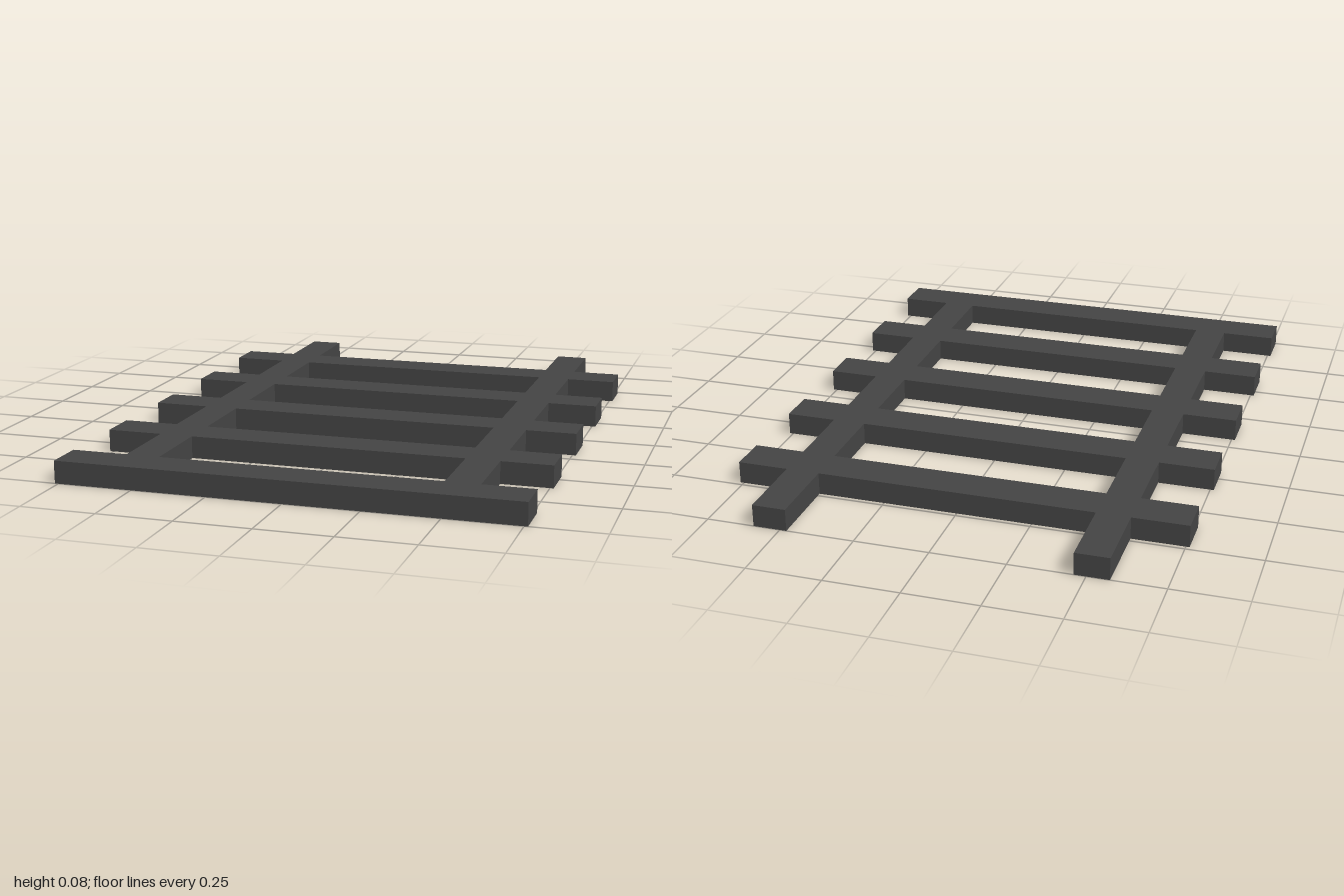
import * as THREE from 'three';

const HEIGHT = 0.075;
const RUNG_DEPTH = 0.135;
const SPACING = 0.4;
const RUNG_COUNT = 5;

export function createModel() {
  const model = new THREE.Group();
  model.name = 'ladderFrame';
  const material = new THREE.MeshStandardMaterial({ color: 0x444444 });

  // Flat bar resting on the ground, given by its x and z extents
  function bar(name, x0, x1, z0, z1, parent) {
    const mesh = new THREE.Mesh(new THREE.BoxGeometry(x1 - x0, HEIGHT, z1 - z0), material);
    mesh.position.set((x0 + x1) / 2, HEIGHT / 2, (z0 + z1) / 2);
    mesh.name = name;
    parent.add(mesh);
  }

  const rungs = new THREE.Group();
  rungs.name = 'rungs';
  const rightRail = new THREE.Group();
  rightRail.name = 'rightRail';
  const leftRail = new THREE.Group();
  leftRail.name = 'leftRail';
  model.add(rungs, rightRail, leftRail);

  // Evenly spaced rungs from front to back, with rail sections butted between them
  for (let i = 0; i < RUNG_COUNT; i++) {
    const front = 1 - i * SPACING;
    const back = front - RUNG_DEPTH;
    const next = Math.max(front - SPACING, -1);
    bar('rung', -0.762, 0.762, back, front, rungs);
    bar('railSection', -0.574, -0.461, next, back, rightRail);
    bar('railSection', 0.477, 0.59, next, back, leftRail);
  }
  return model;
}
